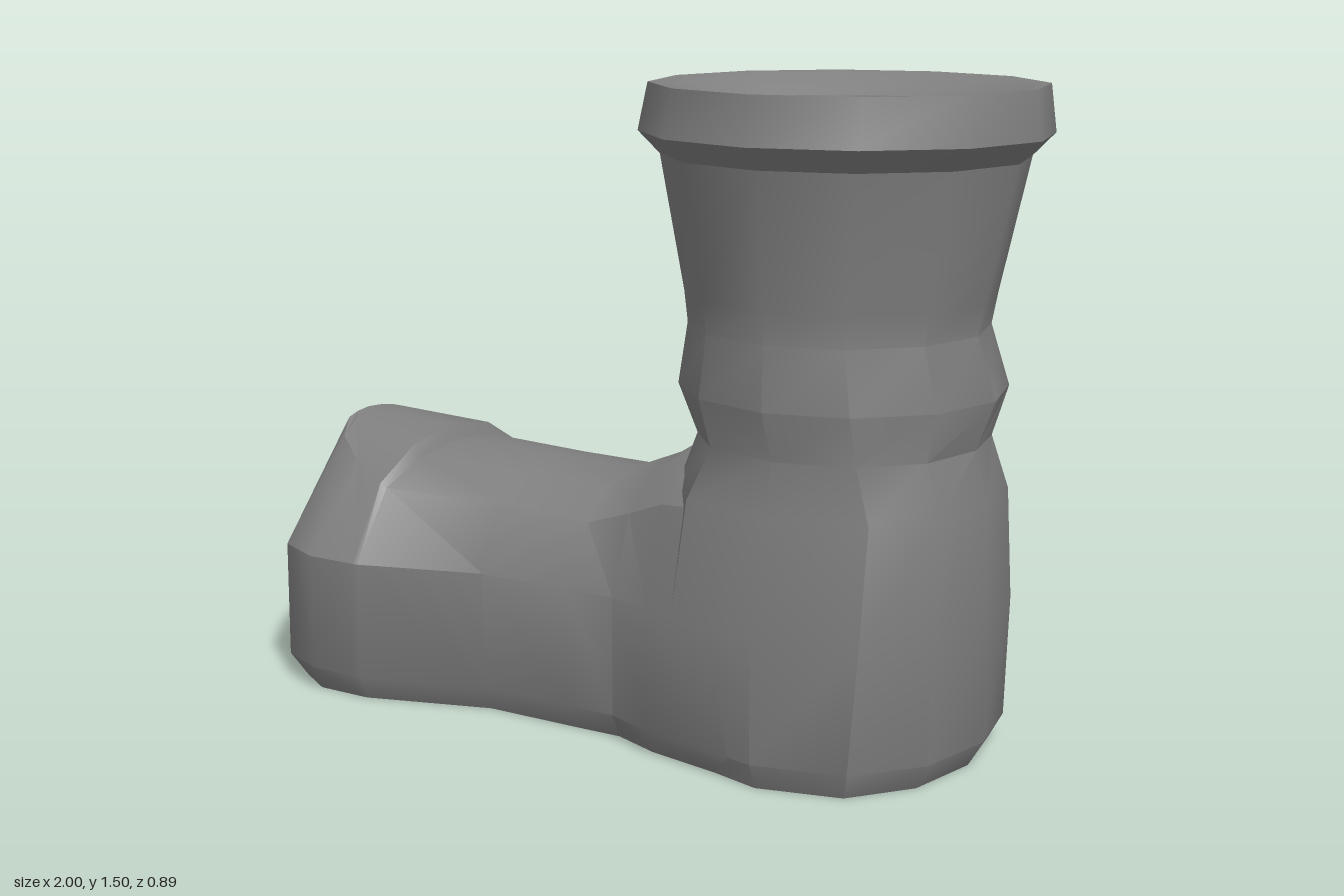
import * as THREE from 'three';
import { toCreasedNormals } from 'three/addons/utils/BufferGeometryUtils.js';

const material = new THREE.MeshStandardMaterial({ color: 0x808080 });

// Skin a row of closed rings with equal point counts
function loft(name, rings) {
  const n = rings[0].length;
  const pos = [];
  const tri = (a, b, c) => {
    const area = b.clone().sub(a).cross(c.clone().sub(a)).length();
    if (area > 1e-7) pos.push(...a.toArray(), ...b.toArray(), ...c.toArray());
  };
  for (let r = 0; r < rings.length - 1; r++) {
    for (let j = 0; j < n; j++) {
      const k = (j + 1) % n;
      tri(rings[r][j], rings[r + 1][j], rings[r][k]);
      tri(rings[r][k], rings[r + 1][j], rings[r + 1][k]);
    }
  }
  const geometry = new THREE.BufferGeometry();
  geometry.setAttribute('position', new THREE.Float32BufferAttribute(pos, 3));
  const mesh = new THREE.Mesh(toCreasedNormals(geometry, 0.56), material);
  mesh.name = name;
  return mesh;
}

// Horizontal twelve-sided ring; power below 1 squares off its ends
function ring(y, cx, rx, rz, cz = -0.01, power = 1) {
  return Array.from({ length: 12 }, (_, i) => {
    const a = (i / 12) * Math.PI * 2;
    const c = Math.cos(a);
    const x = Math.sign(c) * Math.abs(c) ** power * rx;
    return new THREE.Vector3(cx + x, y, cz + Math.sin(a) * rz);
  });
}

// Foot section: outline x and half width, shoulder x, half width, height, then ridge x and height
function footSection([x, w, xs, ws, ys, xt, yt]) {
  const xb = x < -0.75 ? x + 0.03 : x;
  const half = [
    [xb, 0, Math.max(0, w - 0.03)],
    [x, 0.06, w],
    [x, 0.34, w],
    [xs, ys, ws],
    [(xs + xt) / 2, yt - (yt - ys) * 0.25, ws * 0.55],
  ];
  const cz = -0.02;
  const left = half.map(([px, py, pz]) => new THREE.Vector3(px, py, cz + pz));
  const right = half.map(([px, py, pz]) => new THREE.Vector3(px, py, cz - pz)).reverse();
  return [...left, new THREE.Vector3(xt, yt, cz), ...right];
}

export function createModel() {
  const boot = new THREE.Group();
  boot.name = 'boot';

  // Toe cap, step behind it, and instep running into the ankle
  boot.add(loft('foot', [
    [-1.0, 0, -0.82, 0, 0.62, -0.82, 0.62],
    [-0.9, 0.2, -0.81, 0.09, 0.61, -0.82, 0.62],
    [-0.8, 0.35, -0.77, 0.16, 0.58, -0.8, 0.62],
    [-0.68, 0.405, -0.68, 0.22, 0.54, -0.7, 0.615],
    [-0.55, 0.405, -0.56, 0.28, 0.51, -0.55, 0.605],
    [-0.535, 0.403, -0.545, 0.275, 0.5, -0.53, 0.57],
    [-0.24, 0.305, -0.24, 0.225, 0.49, -0.24, 0.57],
    [0, 0.303, 0, 0.22, 0.48, 0, 0.57],
    [0.12, 0.3, 0.12, 0.23, 0.52, 0.12, 0.62],
    [0.24, 0.345, 0.24, 0.285, 0.57, 0.23, 0.69],
    [0.54, 0.4, 0.54, 0.35, 0.6, 0.54, 0.7],
  ].map(footSection)));

  // Heel, ankle fold and flared shaft
  boot.add(loft('heelAndShaft', [
    ring(0, 0.54, 0, 0),
    ring(0, 0.54, 0.33, 0.375, -0.015, 0.8),
    ring(0.06, 0.54, 0.365, 0.4, -0.015, 0.82),
    ring(0.34, 0.54, 0.365, 0.405, -0.015, 0.66),
    ring(0.6, 0.55, 0.355, 0.355, -0.005, 0.68),
    ring(0.72, 0.555, 0.318, 0.33, 0, 0.85),
    ring(0.83, 0.545, 0.365, 0.37),
    ring(0.97, 0.54, 0.332, 0.34, 0.005),
    ring(1.04, 0.54, 0.343, 0.35, 0),
    ring(1.34, 0.545, 0.405, 0.4, 0),
  ]));

  // Cuff with its lip and the hollow inside
  boot.add(loft('cuff', [
    ring(1.34, 0.545, 0.405, 0.4, 0),
    ring(1.39, 0.545, 0.455, 0.445, 0),
    ring(1.495, 0.547, 0.437, 0.43, -0.005),
    ring(1.49, 0.545, 0.395, 0.39),
    ring(1.445, 0.54, 0.312, 0.305),
    ring(1.2, 0.54, 0.285, 0.28),
    ring(1.0, 0.54, 0.2, 0.2),
    ring(0.9, 0.54, 0.1, 0.1),
    ring(0.87, 0.54, 0, 0),
  ]));

  return boot;
}
